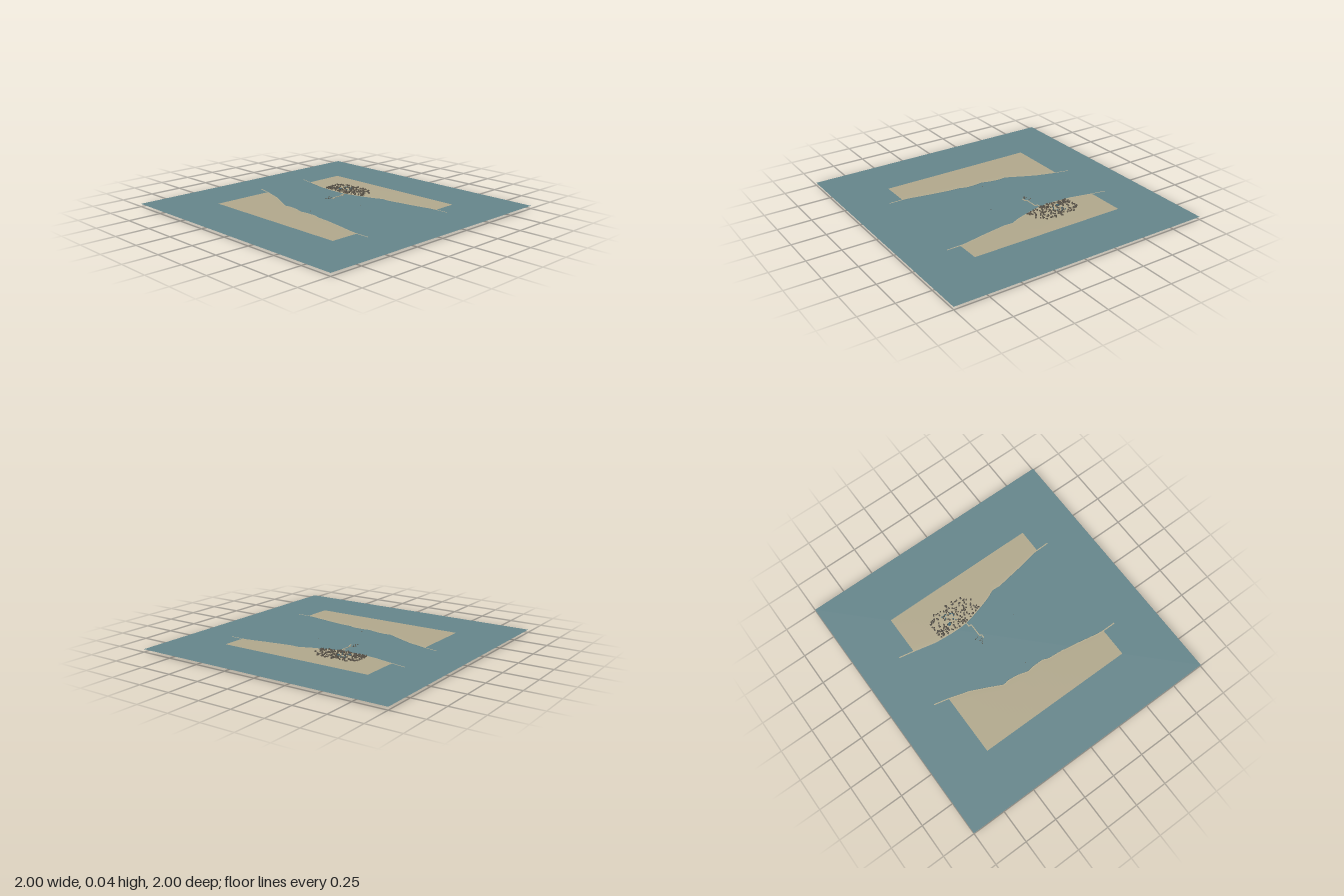
import * as THREE from 'three';
import { mergeGeometries } from 'three/addons/utils/BufferGeometryUtils.js';

const mat = (name, color, side = THREE.FrontSide) => {
  const m = new THREE.MeshStandardMaterial({ color, side });
  m.name = name;
  return m;
};

const WATER_Y = 0.021, LAND_Y = 0.025;

// Shorelines as [z, x] pairs, running from back to front
const WEST = [[-0.71, -0.11], [-0.6, -0.135], [-0.45, -0.18], [-0.35, -0.225], [-0.22, -0.288], [-0.18, -0.277],
  [-0.1, -0.287], [-0.03, -0.308], [0.02, -0.3], [0.11, -0.3], [0.15, -0.318], [0.25, -0.325], [0.4, -0.35],
  [0.55, -0.378], [0.6, -0.382], [0.7, -0.382]];
const EAST = [[-0.71, 0.325], [-0.58, 0.3], [-0.43, 0.267], [-0.3, 0.257], [-0.2, 0.257], [-0.13, 0.267],
  [-0.01, 0.3], [0.07, 0.325], [0.14, 0.358], [0.2, 0.353], [0.4, 0.385], [0.56, 0.416], [0.6, 0.418], [0.7, 0.42]];

function shoreX(line, z) {
  let i = 0;
  while (i < line.length - 2 && z > line[i + 1][0]) i++;
  const [z0, x0] = line[i], [z1, x1] = line[i + 1];
  return THREE.MathUtils.lerp(x0, x1, THREE.MathUtils.clamp((z - z0) / (z1 - z0), 0, 1));
}

// Surface through cross-sections; section(z) lists [x, y] from -x to +x
function loft(z0, z1, steps, section) {
  const pos = [], index = [];
  let n = 0;
  for (let i = 0; i <= steps; i++) {
    const z = THREE.MathUtils.lerp(z0, z1, i / steps);
    const row = section(z);
    n = row.length;
    row.forEach(([x, y]) => pos.push(x, y, z));
  }
  for (let i = 0; i < steps; i++) {
    for (let j = 0; j < n - 1; j++) {
      const a = i * n + j, b = a + n;
      index.push(a, b, a + 1, a + 1, b, b + 1);
    }
  }
  const g = new THREE.BufferGeometry();
  g.setAttribute('position', new THREE.Float32BufferAttribute(pos, 3));
  g.setIndex(index);
  g.computeVertexNormals();
  return g;
}

function seeded(seed) {
  return () => {
    seed = (seed * 16807) % 2147483647;
    return seed / 2147483647;
  };
}

export function createModel() {
  const model = new THREE.Group();
  const water = mat('water', 0x67878d, THREE.DoubleSide);
  const bed = mat('river bed', 0x5c7a80, THREE.DoubleSide);
  const sand = mat('sandy land', 0xb3aa8e, THREE.DoubleSide);
  const shore = mat('shore edge', 0xb8af92, THREE.DoubleSide);
  const wall = mat('house wall', 0x6a6253);
  const roof = mat('dark roof', 0x4f4a42);
  const blueRoof = mat('blue roof', 0x3a6272);
  const wood = mat('boat wood', 0x5d564a);

  const add = (name, geometry, material) => {
    const mesh = new THREE.Mesh(geometry, material);
    mesh.name = name;
    model.add(mesh);
    return mesh;
  };

  // Water sheet
  add('waterSurface', new THREE.PlaneGeometry(2, 2).rotateX(-Math.PI / 2).translate(0, WATER_Y, 0), water);

  // Channel with sloping walls under the water
  add('riverBed', loft(-0.6, 0.6, 60, z => {
    const w = shoreX(WEST, z), e = shoreX(EAST, z);
    return [[w, LAND_Y - 0.001], [w + 0.025, 0.012], [w + 0.06, 0]];
  }), bed).name = 'westRiverWall';
  add('riverFloor', loft(-0.6, 0.6, 60, z => [[shoreX(WEST, z) + 0.06, 0], [shoreX(EAST, z) - 0.06, 0]]), bed);
  add('eastRiverWall', loft(-0.6, 0.6, 60, z => {
    const e = shoreX(EAST, z);
    return [[e - 0.06, 0], [e - 0.025, 0.012], [e, LAND_Y - 0.001]];
  }), bed);

  // Banks, rising very slightly inland
  add('westBank', loft(-0.6, 0.6, 60, z => {
    const w = shoreX(WEST, z);
    return [[-0.6, LAND_Y], [w - 0.04, LAND_Y + 0.0005], [w, LAND_Y - 0.001]];
  }), sand);
  add('eastBank', loft(-0.6, 0.6, 60, z => {
    const e = shoreX(EAST, z);
    return [[e, LAND_Y - 0.001], [e + 0.04, LAND_Y + 0.001], [0.6, LAND_Y + 0.002]];
  }), sand);

  // Narrow shore strips that run past the banks
  for (const [name, line] of [['westShore', WEST], ['eastShore', EAST]]) {
    add(name, loft(line[0][0], 0.7, 70, z => {
      const x = shoreX(line, z);
      return [[x - 0.004, LAND_Y - 0.0005], [x + 0.004, LAND_Y - 0.0005]];
    }), shore);
  }

  // Jetty of short straight decks: x, z, width, depth
  const decks = [[0.242, -0.167, 0.04, 0.007], [0.226, -0.157, 0.007, 0.022], [0.173, -0.146, 0.108, 0.007],
    [0.12, -0.139, 0.007, 0.012], [0.104, -0.131, 0.03, 0.007]];
  add('jetty', mergeGeometries(decks.map(([x, z, w, d]) =>
    new THREE.BoxGeometry(w, 0.003, d).translate(x, 0.0225, z))), shore);

  // Little boats near the jetty
  const boats = [[0.062, -0.165], [0.075, -0.155], [0.09, -0.165], [0.115, -0.185], [0.12, -0.168], [0.09, -0.148],
    [0.105, 0.15], [-0.24, 0.0]];
  add('boats', mergeGeometries(boats.map(([x, z], i) =>
    new THREE.BoxGeometry(i < 6 ? 0.011 : 0.006, 0.004, 0.004).rotateY(i * 0.7).translate(x, 0.0225, z))), wood);

  // Village: small houses with hipped roofs, thinning out inland
  const rand = seeded(4711);
  const walls = [], roofs = [], blueRoofs = [];
  while (walls.length < 190) {
    const z = -0.4 + rand() * 0.385;
    const edge = shoreX(EAST, z);
    const x = edge + 0.005 + Math.pow(rand(), 1.15) * 0.2;
    const round = ((x - 0.33) / 0.145) ** 2 + ((z + 0.21) / 0.2) ** 2;
    if (round > 1) continue;
    const w = 0.007 + rand() * 0.005, d = 0.007 + rand() * 0.004, h = 0.005 + rand() * 0.006;
    const turn = rand() * Math.PI, base = LAND_Y - 0.0005;
    walls.push(new THREE.BoxGeometry(w, h, d).rotateY(turn).translate(x, base + h / 2, z));
    const top = new THREE.ConeGeometry(Math.SQRT1_2, 0.005, 4).rotateY(Math.PI / 4)
      .scale(w * 1.15, 1, d * 1.15).rotateY(turn).translate(x, base + h + 0.0025, z);
    const central = Math.hypot(x - 0.36, z + 0.26) < 0.06;
    (central && rand() < 0.45 ? blueRoofs : roofs).push(top);
  }
  add('houseWalls', mergeGeometries(walls), wall);
  add('houseRoofs', mergeGeometries(roofs), roof);
  if (blueRoofs.length) add('blueHouseRoofs', mergeGeometries(blueRoofs), blueRoof);

  return model;
}
